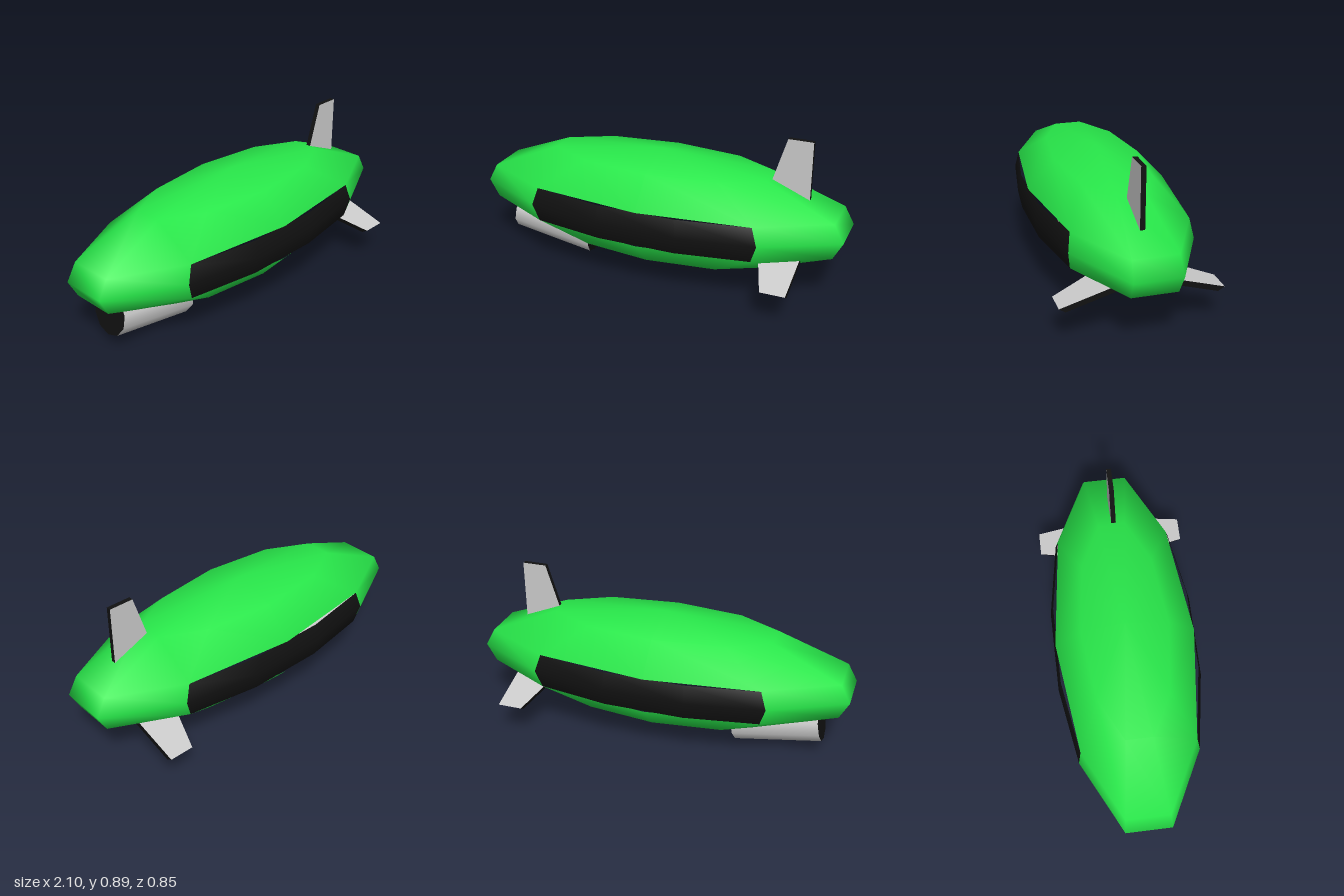
import * as THREE from 'three';

const DEG = Math.PI / 180;

export function createModel() {
  const group = new THREE.Group();
  const green = new THREE.MeshStandardMaterial({ color: 0x28e84a });
  const black = new THREE.MeshStandardMaterial({ color: 0x111111 });
  const grey = new THREE.MeshStandardMaterial({ color: 0xcccccc });

  const add = (parent, name, geometry, material) => {
    const mesh = new THREE.Mesh(geometry, material);
    mesh.name = name;
    parent.add(mesh);
    return mesh;
  };

  // Hull: a ten-sided, five-ring ellipsoid assembled from patches (angles in degrees)
  const hull = new THREE.Group();
  hull.name = 'hull';
  group.add(hull);
  const patch = (name, material, phi, phiLen, theta, thetaLen) => {
    const g = new THREE.SphereGeometry(1, phiLen / 36, thetaLen / 36,
      phi * DEG, phiLen * DEG, theta * DEG, thetaLen * DEG);
    g.scale(1.1056, 0.3195, 0.407);
    g.translate(0, 0.4035, 0);
    add(hull, name, g, material);
  };
  patch('upperHull', green, 90, 360, 0, 72);
  patch('lowerHull', green, 90, 360, 108, 72);
  patch('nose', green, 306, 108, 72, 36);
  patch('tail', green, 126, 108, 72, 36);
  patch('frontWindowBand', black, 54, 72, 72, 36);
  patch('backWindowBand', black, 234, 72, 72, 36);

  // Fins: swept plates, span along `span`, thickness along `thick`, with dark edges
  const fin = (name, origin, span, thick, rootX) => {
    const s = new THREE.Shape([
      new THREE.Vector2(rootX, 0), new THREE.Vector2(0.84, 0),
      new THREE.Vector2(0.84, 1), new THREE.Vector2(0.705, 1),
    ]);
    const g = new THREE.ExtrudeGeometry(s, { depth: 1, bevelEnabled: false });
    const m = new THREE.Matrix4().makeBasis(
      new THREE.Vector3(1, 0, 0), new THREE.Vector3(...span), new THREE.Vector3(...thick));
    m.setPosition(...origin);
    add(group, name, g.applyMatrix4(m), [grey, black]);
  };
  fin('topFin', [0, 0.563, 0], [0, 0.33, 0], [0, 0, 0.026], 0.605);
  fin('leftFin', [0, 0.284, 0.168], [0, -0.076, 0.259], [0, -0.021, -0.034], 0.615);
  fin('rightFin', [0, 0.263, -0.134], [0, -0.076, -0.259], [0, 0.021, -0.034], 0.615);

  // Gondola: tilted ten-sided drum with dark ends
  const drum = new THREE.CylinderGeometry(0.118, 0.118, 0.487, 10, 1, false, Math.PI / 2);
  drum.rotateZ(Math.PI / 2);
  const gondola = add(group, 'gondola', drum, [grey, black, black]);
  gondola.rotation.z = -9.7 * DEG;
  gondola.position.set(-0.66, 0.1585, 0);

  return group;
}
